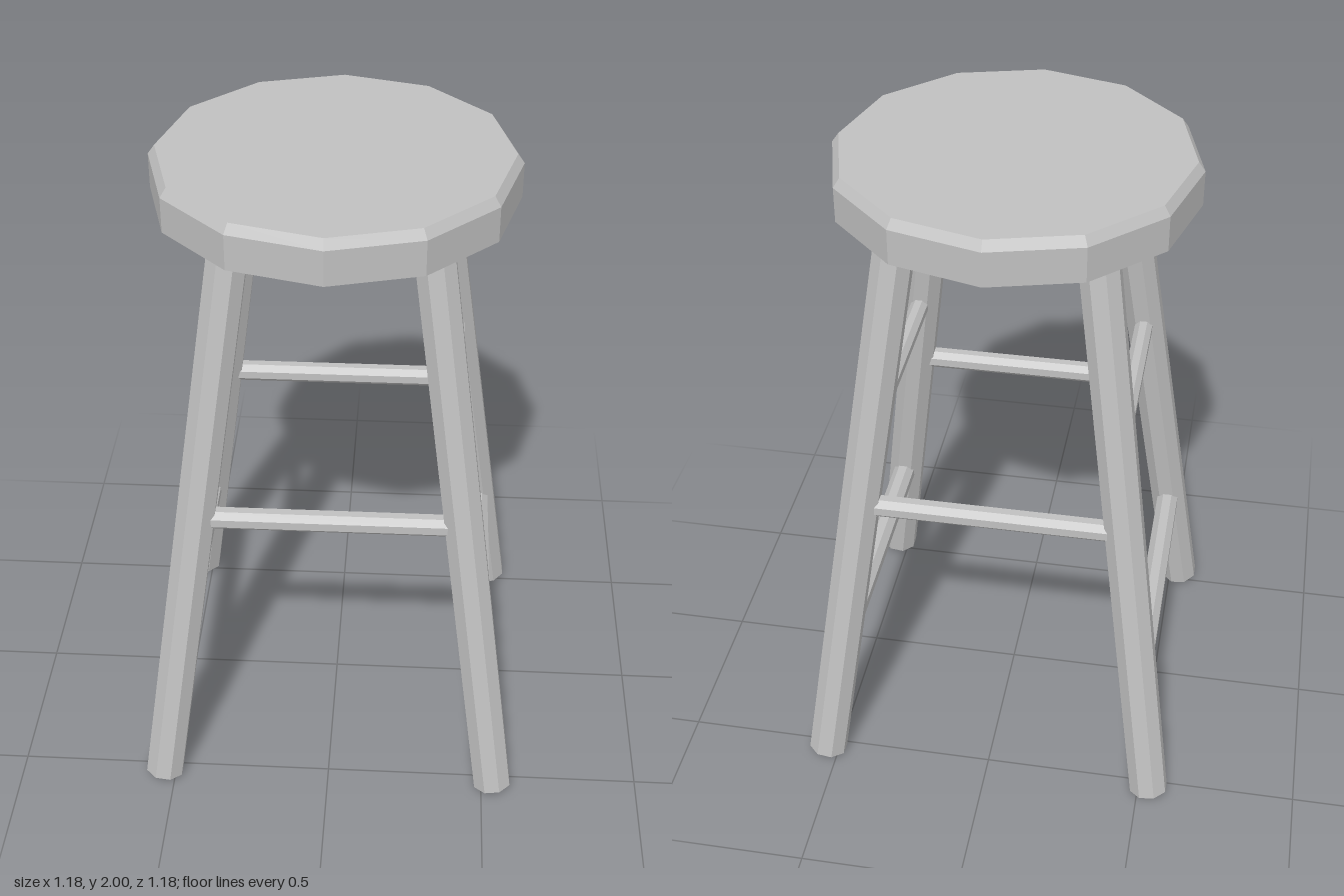
import * as THREE from 'three';

const material = new THREE.MeshStandardMaterial({ color: 0xc0c0c0, flatShading: true });
material.name = 'plain grey';

// Splayed leg axis: sideways offset (same in x and z) at a given height
const FOOT_Y = 0.012, TOP_Y = 1.9;
const legOffset = (y) => 0.535 - 0.136 * (y - FOOT_Y);

// Eight-sided rod between two points, with flats facing the axes
function rod(name, a, b, radius) {
  const dir = b.clone().sub(a);
  const geometry = new THREE.CylinderGeometry(radius, radius, dir.length(), 8);
  geometry.rotateY(Math.PI / 8);
  const mesh = new THREE.Mesh(geometry, material);
  mesh.name = name;
  mesh.position.copy(a).add(b).multiplyScalar(0.5);
  mesh.quaternion.setFromUnitVectors(new THREE.Vector3(0, 1, 0), dir.normalize());
  return mesh;
}

export function createModel() {
  const stool = new THREE.Group();
  stool.name = 'stool';

  // Twelve-sided seat with a bevelled top rim
  const profile = [[0, 1.865], [0.54, 1.865], [0.54, 1.972], [0.52, 2], [0, 2]]
    .map(([r, y]) => new THREE.Vector2(r, y));
  const seat = new THREE.Mesh(new THREE.LatheGeometry(profile, 12), material);
  seat.name = 'seat';
  seat.position.set(-0.005, 0, 0.004);
  stool.add(seat);

  // Four splayed legs
  const foot = legOffset(FOOT_Y), top = legOffset(TOP_Y);
  for (const sx of [1, -1]) {
    for (const sz of [1, -1]) {
      const name = (sz > 0 ? 'front' : 'back') + (sx > 0 ? 'Left' : 'Right') + 'Leg';
      stool.add(rod(name,
        new THREE.Vector3(sx * foot, FOOT_Y, sz * foot),
        new THREE.Vector3(sx * top, TOP_Y, sz * top), 0.062));
    }
  }

  // Rungs: one across front and back, two along each side
  for (const s of [1, -1]) {
    const m = legOffset(0.966);
    stool.add(rod(s > 0 ? 'frontRung' : 'backRung',
      new THREE.Vector3(-m, 0.966, s * m), new THREE.Vector3(m, 0.966, s * m), 0.034));

    const side = s > 0 ? 'left' : 'right';
    for (const [label, y, r] of [['Upper', 1.225, 0.03], ['Lower', 0.43, 0.038]]) {
      const d = legOffset(y);
      stool.add(rod(side + label + 'Rung',
        new THREE.Vector3(s * d, y, -d), new THREE.Vector3(s * d, y, d), r));
    }
  }
  return stool;
}
